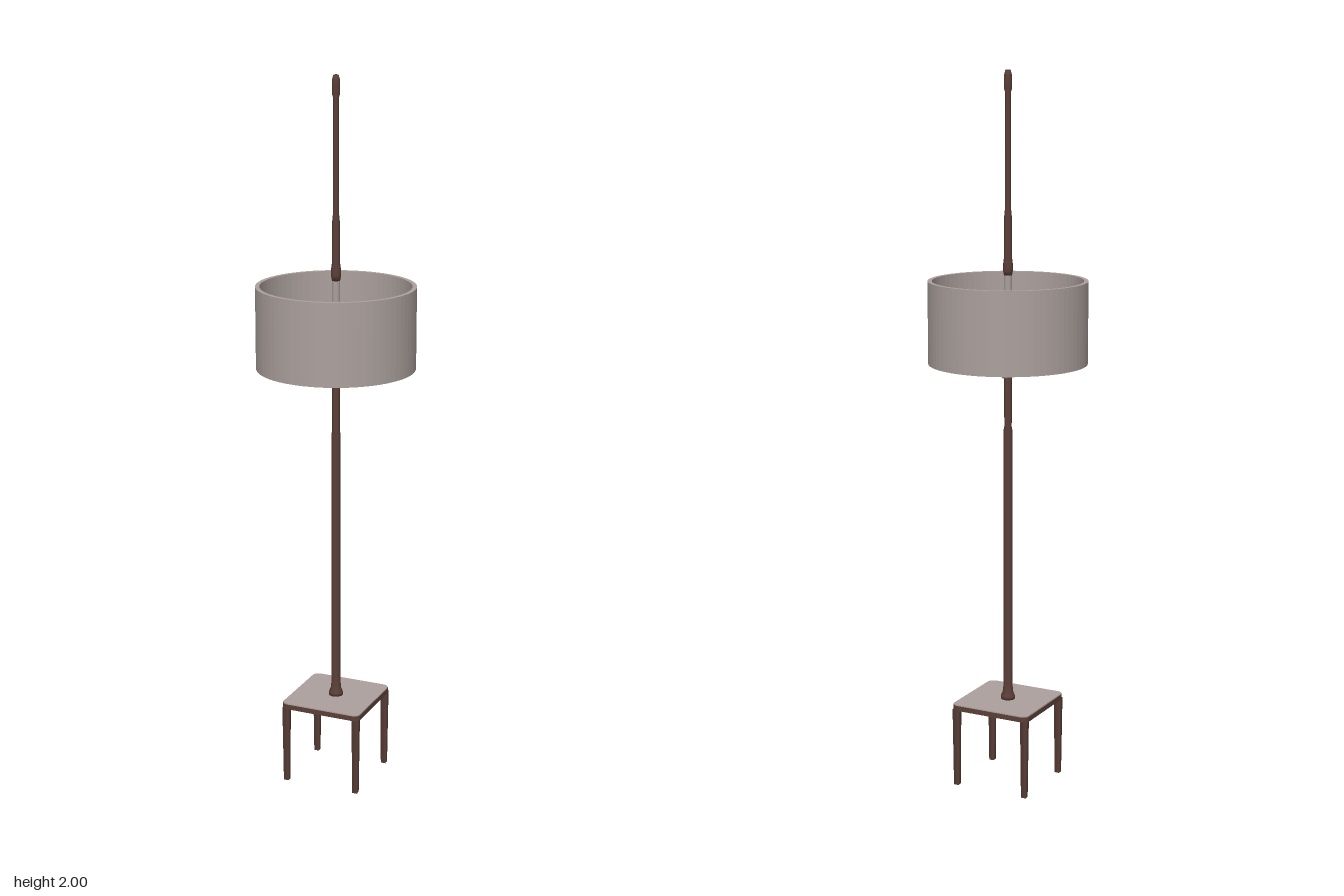
import * as THREE from 'three';

export function createModel() {
  const model = new THREE.Group();
  model.name = 'floorLamp';
  const brown = new THREE.MeshStandardMaterial({ color: 0x5c4038 });
  brown.name = 'rustyBrown';
  const grey = new THREE.MeshStandardMaterial({ color: 0xaca19d });
  grey.name = 'warmGrey';

  function add(name, geometry, material, x = 0, y = 0, z = 0) {
    const mesh = new THREE.Mesh(geometry, material);
    mesh.name = name;
    mesh.position.set(x, y, z);
    model.add(mesh);
    return mesh;
  }
  // Turned part from [radius, height] pairs, listed bottom to top
  const turned = (points, sides) =>
    new THREE.LatheGeometry(points.map(([r, y]) => new THREE.Vector2(r, y)), sides);

  // Rounded square slab lying flat, its underside at y = 0
  function slab(half, corner, height) {
    const s = new THREE.Shape();
    const k = half - corner;
    s.absarc(k, k, corner, 0, Math.PI / 2);
    s.absarc(-k, k, corner, Math.PI / 2, Math.PI);
    s.absarc(-k, -k, corner, Math.PI, Math.PI * 1.5);
    s.absarc(k, -k, corner, Math.PI * 1.5, Math.PI * 2);
    const g = new THREE.ExtrudeGeometry(s, { depth: height, bevelEnabled: false, curveSegments: 4 });
    return g.rotateX(-Math.PI / 2);
  }

  // Small table base with a pale top surface
  add('baseTable', slab(0.119, 0.018, 0.014), brown, 0, 0.224, 0);
  add('baseTop', slab(0.118, 0.018, 0.003), grey, 0, 0.238, 0);

  // Four slightly tapered square legs
  for (const x of [-1, 1]) {
    for (const z of [-1, 1]) {
      const leg = new THREE.CylinderGeometry(0.013, 0.01, 0.226, 4).rotateY(Math.PI / 4);
      add('leg', leg, brown, x * 0.107, 0.113, z * 0.107);
    }
  }

  // Lower pole with its foot collar
  add('lowerPole', turned([
    [0, 0.24], [0.021, 0.24], [0.02, 0.25], [0.014, 0.265], [0.013, 0.3],
    [0.0125, 1.02], [0.0105, 1.03], [0.0105, 1.19], [0, 1.19],
  ], 10), brown);

  // Lamp bulb and the pale stem above it
  add('bulb', turned([
    [0, 1.165], [0.013, 1.167], [0.019, 1.18], [0.034, 1.205], [0.041, 1.235],
    [0.036, 1.262], [0.022, 1.28], [0, 1.285],
  ], 10), grey, 0.005, 0, 0);
  add('stem', new THREE.CylinderGeometry(0.011, 0.012, 0.2, 10), grey, 0, 1.375, 0);

  // Upper pole with collar and finial
  add('upperPole', turned([
    [0, 1.45], [0.011, 1.45], [0.014, 1.465], [0.013, 1.485], [0.011, 1.5],
    [0.0105, 1.61], [0.0085, 1.63], [0.0075, 1.94], [0.011, 1.95],
    [0.011, 1.985], [0.007, 2], [0, 2],
  ], 10), brown);

  // Thin support arm and the short switch on the other side
  const arm = new THREE.CylinderGeometry(0.003, 0.005, 0.1, 6).rotateZ(Math.PI / 2);
  add('supportArm', arm, brown, -0.06, 1.315, 0.006).rotation.y = 0.03;
  add('switchKnob', new THREE.BoxGeometry(0.03, 0.008, 0.01), brown, 0.066, 1.23, 0.004);

  // Open drum shade with a real wall thickness
  const shade = new THREE.Shape();
  shade.absarc(0, 0, 0.219, 0, Math.PI * 2);
  const hole = new THREE.Path();
  hole.absarc(0, 0, 0.207, 0, Math.PI * 2, true);
  shade.holes.push(hole);
  const drum = new THREE.ExtrudeGeometry(shade, { depth: 0.228, bevelEnabled: false, curveSegments: 36 });
  add('drumShade', drum.rotateX(-Math.PI / 2), grey, 0, 1.208, 0);

  return model;
}
